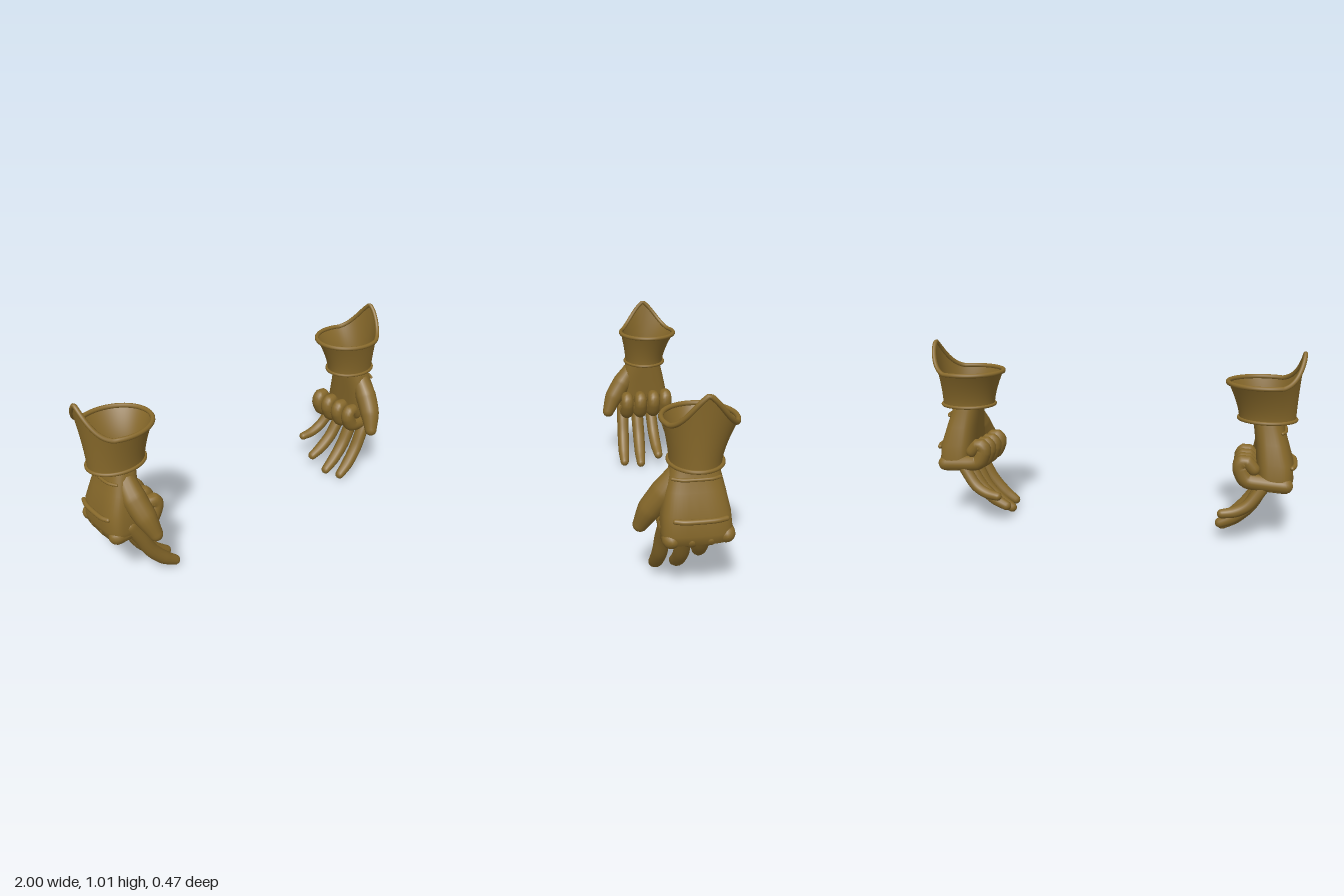
import * as THREE from 'three';

const V = (x, y, z) => new THREE.Vector3(x, y, z);

// Skin a list of closed rings; rings advance along the axis they wind around
function loft(rings) {
  const n = rings[0].length, pos = [], idx = [];
  rings.forEach(r => r.forEach(p => pos.push(p.x, p.y, p.z)));
  for (let i = 0; i < rings.length - 1; i++) {
    for (let j = 0; j < n; j++) {
      const a = i * n + j, b = i * n + (j + 1) % n;
      idx.push(a, b, a + n, b, b + n, a + n);
    }
  }
  const g = new THREE.BufferGeometry();
  g.setAttribute('position', new THREE.Float32BufferAttribute(pos, 3));
  g.setIndex(idx);
  g.computeVertexNormals();
  return g;
}

// Tapered, round-ended limb; each point is [x, y, z, radius]
function limb(points, tension = 0.5, steps = 26, sides = 14) {
  const curve = new THREE.CatmullRomCurve3(points.map(p => V(p[0], p[1], p[2])), false, 'catmullrom', tension);
  const { normals, binormals, tangents } = curve.computeFrenetFrames(steps, false);
  const rings = [];
  const ring = (i, r, shift) => {
    const c = curve.getPointAt(i / steps).addScaledVector(tangents[i], shift);
    rings.push(Array.from({ length: sides }, (_, j) => {
      const a = j / sides * Math.PI * 2;
      return c.clone().addScaledVector(normals[i], r * Math.cos(a)).addScaledVector(binormals[i], r * Math.sin(a));
    }));
  };
  const radius = i => {
    const t = curve.getUtoTmapping(i / steps) * (points.length - 1);
    const k = Math.min(Math.floor(t), points.length - 2);
    return THREE.MathUtils.lerp(points[k][3], points[k + 1][3], t - k);
  };
  const dome = [0, 0.35, 0.7, 1.05, 1.35].map(a => [Math.cos(a), Math.sin(a)]).concat([[0.001, 1]]);
  const r0 = radius(0), r1 = radius(steps);
  [...dome].reverse().forEach(([c, s]) => ring(0, r0 * c, -r0 * s));
  for (let i = 1; i < steps; i++) ring(i, radius(i), 0);
  dome.forEach(([c, s]) => ring(steps, r1 * c, r1 * s));
  return loft(rings);
}

// Horizontal rounded-box section around the y axis
function section(y, x0, x1, z0, z1, k) {
  const n = 40, pw = v => Math.sign(v) * Math.pow(Math.abs(v), 2 / k);
  return Array.from({ length: n }, (_, j) => {
    const a = j / n * Math.PI * 2;
    return V((x0 + x1) / 2 + (x1 - x0) / 2 * pw(Math.sin(a)), y, (z0 + z1) / 2 + (z1 - z0) / 2 * pw(Math.cos(a)));
  });
}

// Point on the flared cuff: angle a, height fraction v; the outer side rises to a peak
function cuffPoint(a, v) {
  const s = Math.sin(a);
  const t = s > 0 ? Math.max(0, 1 - Math.abs(Math.cos(a)) / 0.88) : 0;
  const top = 0.855 + 0.155 * (t + t * t * (3 - 2 * t)) / 2;
  const f = Math.pow(v, 1.5);
  return V(0.82 - 0.02 * f + (0.145 + 0.043 * f) * s, 0.665 + (top - 0.665) * v,
    -0.04 - 0.02 * f + (0.117 + 0.05 * f) * Math.cos(a));
}

const closedTube = (pts, r) =>
  new THREE.TubeGeometry(new THREE.CatmullRomCurve3(pts, true), 96, r, 10, true);
const angles = Array.from({ length: 64 }, (_, j) => j / 64 * Math.PI * 2);

// All parts of the +x glove
function gloveParts() {
  const parts = [];
  const put = (name, geo) => parts.push([name, geo]);

  // Cuff with rolled rim and wrist ring
  put('cuff', loft(Array.from({ length: 15 }, (_, i) => angles.map(a => cuffPoint(a, i / 14)))));
  put('cuffRim', closedTube(angles.map(a => cuffPoint(a, 1)), 0.012));
  put('wristRing', closedTube(angles.map(a => V(0.82 + 0.147 * Math.sin(a), 0.665, -0.042 + 0.122 * Math.cos(a))), 0.009));

  // Hand body, listed bottom to top, with closed ends
  put('hand', loft([
    [0.304, 0.88, 0.881, -0.04, -0.039, 3],
    [0.305, 0.83, 0.94, -0.17, 0.10, 3],
    [0.315, 0.80, 0.962, -0.195, 0.122, 3.5],
    [0.36, 0.785, 0.97, -0.2, 0.125, 3.5],
    [0.45, 0.775, 0.963, -0.19, 0.122, 3.3],
    [0.55, 0.765, 0.932, -0.168, 0.103, 3],
    [0.64, 0.752, 0.904, -0.146, 0.077, 2.7],
    [0.69, 0.75, 0.9, -0.142, 0.065, 2.4],
    [0.72, 0.765, 0.885, -0.125, 0.045, 2.2],
    [0.738, 0.80, 0.85, -0.08, 0.0, 2],
    [0.742, 0.825, 0.826, -0.04, -0.039, 2],
  ].map(p => section(...p))));

  // Thumb
  put('thumb', limb([[0.83, 0.6, 0.045, 0.05], [0.825, 0.52, 0.1, 0.062],
    [0.805, 0.43, 0.16, 0.056], [0.78, 0.342, 0.2, 0.036]]));

  // Curled fingers
  [[0.082, 0], [-0.004, 0], [-0.088, 0.004], [-0.165, 0.012]].forEach(([z, d], i) => put('curledFinger' + (i + 1), limb([
    [0.925, 0.332 + d, z, 0.042], [0.82, 0.338 + d, z, 0.042], [0.73, 0.35 + d, z, 0.042],
    [0.694, 0.42 + d, z, 0.039], [0.722, 0.452 + d, z, 0.037], [0.765, 0.41 + d, z, 0.033]], 0.35, 34)));

  // Extended fingers, from index to little
  [
    [[0.86, 0.37, 0.095, 0.038], [0.81, 0.28, 0.103, 0.037], [0.76, 0.18, 0.107, 0.037], [0.69, 0.095, 0.112, 0.035], [0.625, 0.045, 0.115, 0.027]],
    [[0.86, 0.37, 0.005, 0.04], [0.81, 0.27, 0.005, 0.039], [0.755, 0.165, 0.004, 0.038], [0.68, 0.085, 0.007, 0.035], [0.61, 0.036, 0.01, 0.027]],
    [[0.86, 0.37, -0.08, 0.037], [0.8, 0.275, -0.087, 0.036], [0.745, 0.19, -0.092, 0.036], [0.67, 0.125, -0.098, 0.034], [0.603, 0.09, -0.103, 0.027]],
    [[0.85, 0.38, -0.155, 0.034], [0.79, 0.285, -0.172, 0.032], [0.74, 0.225, -0.185, 0.031], [0.68, 0.193, -0.195, 0.029], [0.615, 0.182, -0.205, 0.024]],
  ].forEach((p, i) => put('extendedFinger' + (i + 1), limb(p)));

  // Raised bars across the back of the hand
  put('upperBar', limb([[0.895, 0.61, 0.074, 0.008], [0.916, 0.61, 0.03, 0.008],
    [0.919, 0.61, -0.04, 0.008], [0.916, 0.61, -0.1, 0.008], [0.9, 0.61, -0.136, 0.008]]));
  put('lowerBar', limb([[0.958, 0.436, 0.07, 0.012], [0.972, 0.436, 0.03, 0.012],
    [0.975, 0.436, -0.04, 0.012], [0.972, 0.436, -0.11, 0.012], [0.958, 0.436, -0.158, 0.012]]));
  return parts;
}

// Mirror a geometry in x and restore its winding
function mirror(geo) {
  geo.scale(-1, 1, 1);
  const a = geo.index.array;
  for (let i = 0; i < a.length; i += 3) [a[i], a[i + 1]] = [a[i + 1], a[i]];
  return geo;
}

export function createModel() {
  const leather = new THREE.MeshStandardMaterial({ color: 0x86682a, side: THREE.DoubleSide });
  leather.name = 'ochre leather';
  const model = new THREE.Group();
  model.name = 'gauntlets';
  for (const side of ['left', 'right']) {
    const glove = new THREE.Group();
    glove.name = side + 'Gauntlet';
    for (const [name, geo] of gloveParts()) {
      const mesh = new THREE.Mesh(side === 'right' ? mirror(geo) : geo, leather);
      mesh.name = name;
      glove.add(mesh);
    }
    model.add(glove);
  }
  return model;
}
